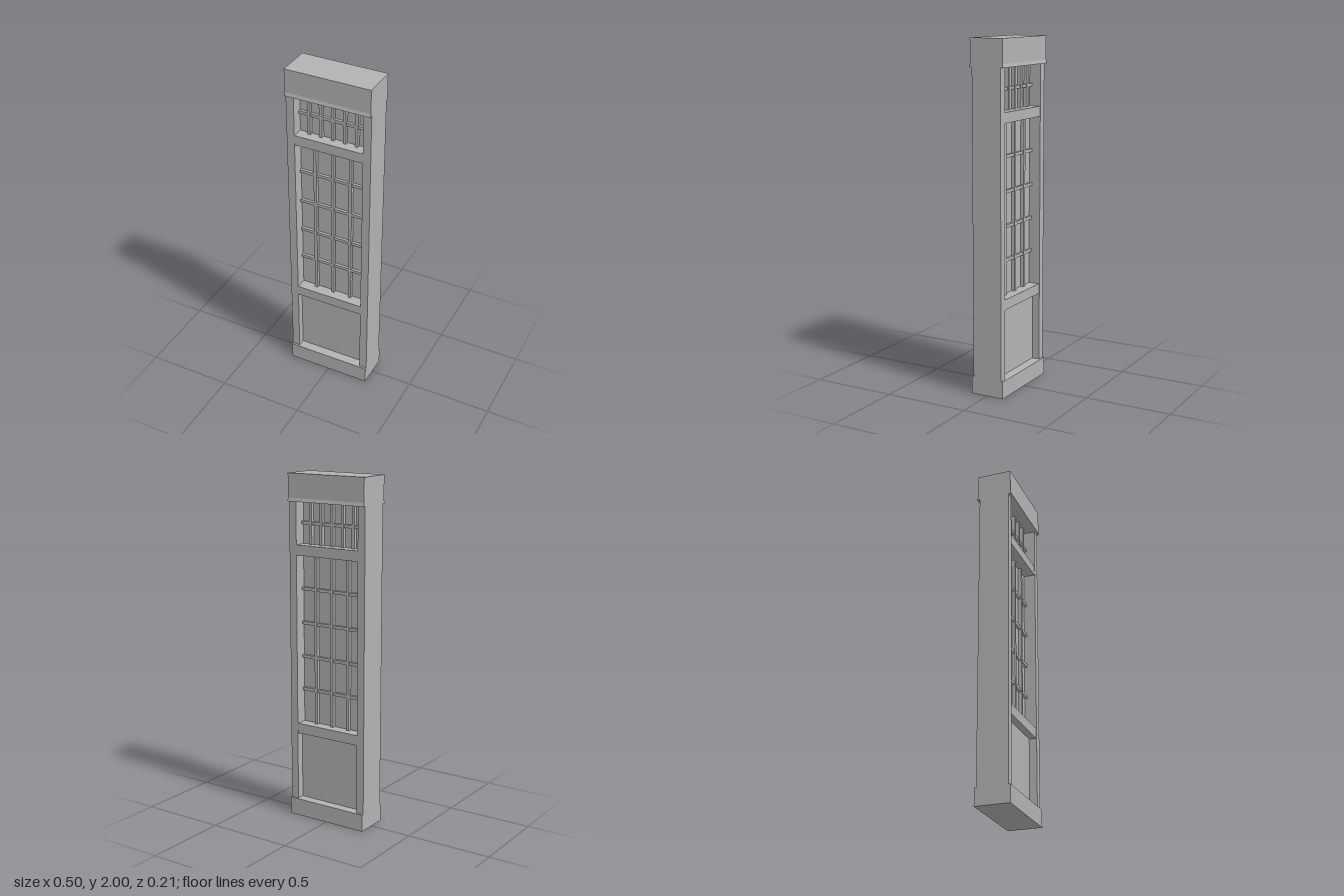
import * as THREE from 'three';

export function createModel() {
  const group = new THREE.Group();
  group.name = 'panelledFrame';
  const stone = new THREE.MeshStandardMaterial({ color: 0xb2b2b2 });
  stone.name = 'plain grey';

  // Box spanning x0..x1 and y0..y1, reaching the same depth front and back
  const slab = (name, x0, x1, y0, y1, halfDepth) => {
    const mesh = new THREE.Mesh(new THREE.BoxGeometry(x1 - x0, y1 - y0, 2 * halfDepth), stone);
    mesh.position.set((x0 + x1) / 2, (y0 + y1) / 2, 0);
    mesh.name = name;
    group.add(mesh);
  };

  const W = 0.25, IN = 0.204, BAR = 0.009;
  const BASE = 0.1, HEAD = 1.845;

  // Base block and side stiles
  slab('base', -W, W, 0, BASE, 0.1);
  slab('leftStile', IN, W, BASE, HEAD, 0.089);
  slab('rightStile', -W, -IN, BASE, HEAD, 0.089);

  // Header with a small flared lip along its lower front and back edges
  const profile = new THREE.Shape([
    [-0.106, HEAD], [0.106, HEAD], [0.1, HEAD + 0.02], [0.1, 2], [-0.1, 2], [-0.1, HEAD + 0.02],
  ].map(([z, y]) => new THREE.Vector2(z, y)));
  const headGeo = new THREE.ExtrudeGeometry(profile, { depth: 2 * W, bevelEnabled: false });
  headGeo.translate(0, 0, -W).rotateY(Math.PI / 2);
  const header = new THREE.Mesh(headGeo, stone);
  header.name = 'header';
  group.add(header);

  // Cross rails
  slab('lowerRail', -IN, IN, 0.503, 0.562, 0.086);
  slab('upperRail', -IN, IN, 1.545, 1.604, 0.086);

  // Recessed panels
  slab('lowerPanel', -IN, IN, BASE, 0.503, 0.045);
  slab('windowPanel', -IN, IN, 0.562, 1.545, 0.02);
  slab('transomPanel', -IN, IN, 1.604, HEAD, 0.02);

  // Glazing bars, standing proud of the panes on both faces
  const lattice = (name, y0, y1, xs, ys) => {
    for (const x of xs) slab(name + 'UprightBar', x - BAR, x + BAR, y0, y1, 0.04);
    for (const y of ys) slab(name + 'CrossBar', -IN, IN, y - BAR, y + BAR, 0.036);
  };
  lattice('window', 0.562, 1.545, [-0.108, 0, 0.108], [0.76, 0.954, 1.151, 1.349]);
  lattice('transom', 1.604, HEAD, [-0.142, -0.071, 0, 0.071, 0.142], [1.723]);

  return group;
}
